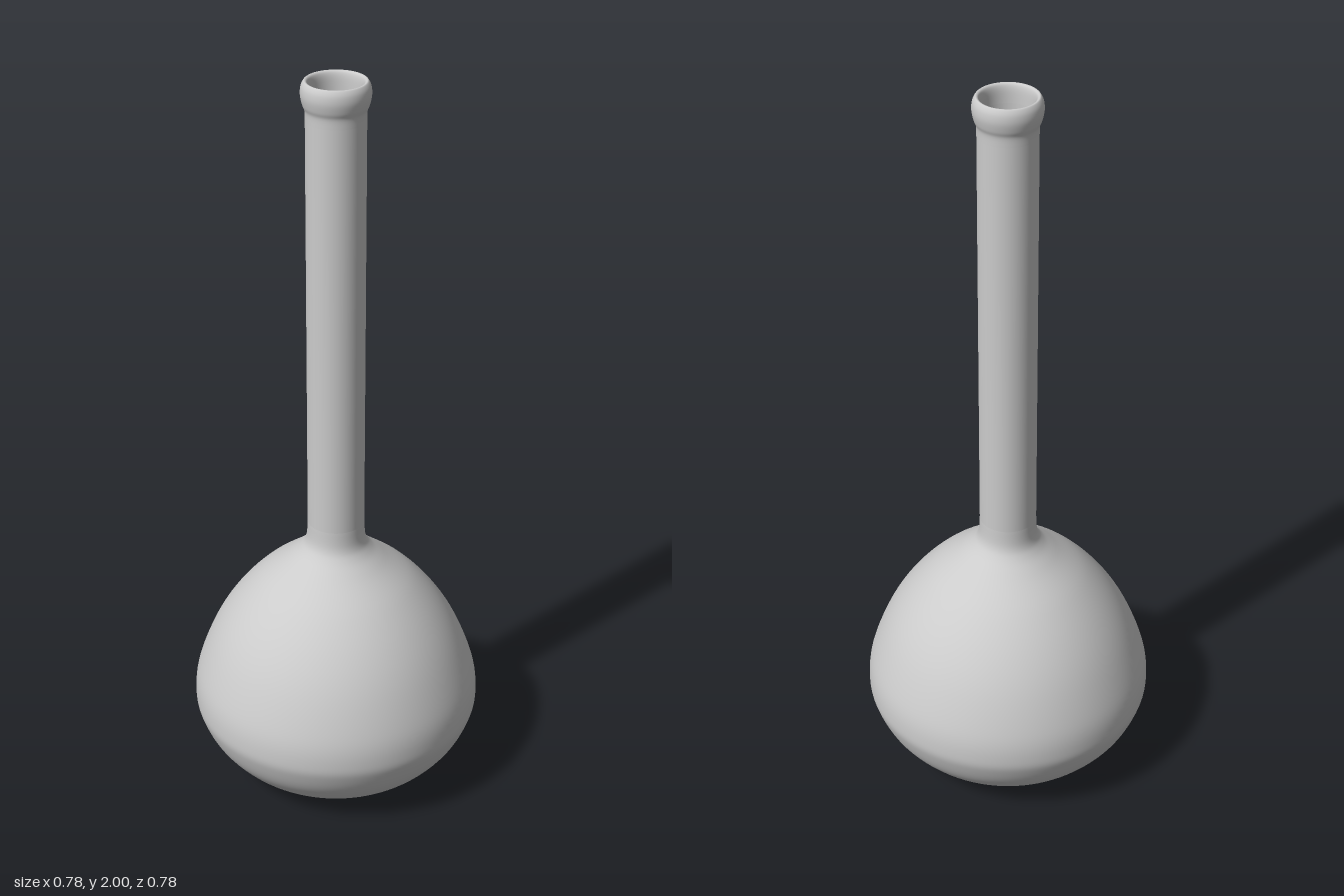
import * as THREE from 'three';

const SEGMENTS = 96;
const WALL = 0.01;
const material = new THREE.MeshStandardMaterial({ color: 0xcccccc });

const vec = ([r, y]) => new THREE.Vector2(r, y);

// Smooth profile through a few [radius, height] points
const smooth = (pts, n) => new THREE.SplineCurve(pts.map(vec)).getPoints(n);

// Moves a rising profile inward by the wall thickness
function inset(profile, d) {
  return profile.map((p, i) => {
    const a = profile[Math.max(i - 1, 0)];
    const b = profile[Math.min(i + 1, profile.length - 1)];
    const t = b.clone().sub(a).normalize();
    return new THREE.Vector2(Math.max(p.x - t.y * d, 0), p.y + t.x * d);
  });
}

function turned(name, profile) {
  const mesh = new THREE.Mesh(new THREE.LatheGeometry(profile, SEGMENTS), material);
  mesh.name = name;
  return mesh;
}

export function createModel() {
  const flask = new THREE.Group();
  flask.name = 'flask';

  // Round bulb with a small flat foot, flowing into the neck
  const bulb = smooth([
    [0.17, 0], [0.215, 0.013], [0.29, 0.055], [0.35, 0.12], [0.382, 0.185],
    [0.391, 0.235], [0.381, 0.31], [0.339, 0.42], [0.285, 0.51],
    [0.215, 0.59], [0.135, 0.655], [0.096, 0.69], [0.08, 0.72], [0.076, 0.77],
  ], 90);
  const innerBulb = inset(bulb, WALL);
  flask.add(turned('bulb', bulb));
  flask.add(turned('bulbInside', innerBulb.slice().reverse()));

  // Flat foot and inner floor
  flask.add(turned('foot', [[0, 0.004], [0.14, 0.003], [0.17, 0]].map(vec)));
  flask.add(turned('floorInside', [innerBulb[0], new THREE.Vector2(0, innerBulb[0].y)]));

  // Long straight neck, outside and inside
  const inner = innerBulb[innerBulb.length - 1];
  flask.add(turned('neck', [[0.076, 0.77], [0.076, 1.9]].map(vec)));
  flask.add(turned('neckInside', [new THREE.Vector2(0.066, 1.95), inner]));

  // Rounded lip rolling over into the mouth
  flask.add(turned('lip', smooth([
    [0.076, 1.9], [0.077, 1.925], [0.083, 1.942], [0.0875, 1.965], [0.086, 1.985],
    [0.08, 1.998], [0.075, 2], [0.07, 1.995], [0.067, 1.98], [0.066, 1.95],
  ], 45)));

  return flask;
}
